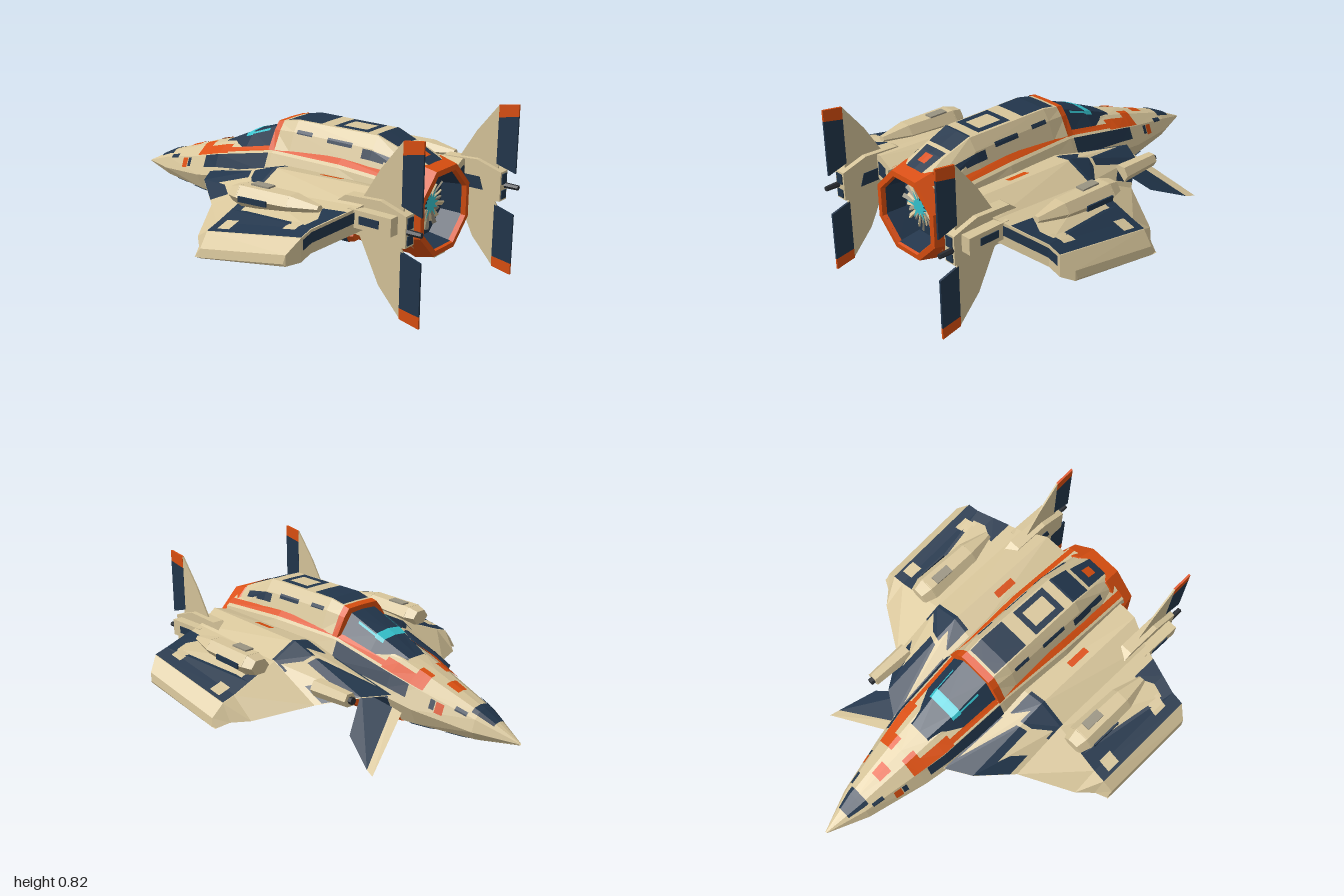
import * as THREE from 'three';

const flat = (color) => new THREE.MeshStandardMaterial({ color, flatShading: true, side: THREE.DoubleSide });

// A skin is a run of cross-sections: keys along its length, rows of points around it.
const at = (skin, u, t) => {
  const { keys, rows } = skin;
  let i = 0;
  while (i < keys.length - 2 && u > keys[i + 1]) i++;
  const j = Math.min(Math.floor(t), rows[0].length - 2);
  const f = (u - keys[i]) / (keys[i + 1] - keys[i]);
  const a = rows[i][j].clone().lerp(rows[i][j + 1], t - j);
  const b = rows[i + 1][j].clone().lerp(rows[i + 1][j + 1], t - j);
  return a.lerp(b, f);
};

// Half section about x: points are [z, y] from top centre to bottom
const bodySkin = (list) => ({
  keys: list.map((s) => s[0]),
  rows: list.map(([x, ...p]) => p.map(([z, y]) => new THREE.Vector3(x, y, z))),
});

export function createModel() {
  const tan = flat(0xd8c69b), navy = flat(0x22364c), orange = flat(0xdb4f10);
  const cyan = flat(0x35c4cf), dark = flat(0x2c3036), grey = flat(0x9a9482);
  Object.entries({ tan, navy, orange, cyan, dark, grey }).forEach(([n, m]) => { m.name = n; });
  const root = new THREE.Group();
  root.name = 'starfighter';

  const add = (name, geo, mat, x = 0, y = 0, z = 0) => {
    const m = new THREE.Mesh(geo, mat);
    m.name = name;
    m.position.set(x, y, z);
    root.add(m);
    return m;
  };
  const box = (name, mat, w, h, d, x, y, z) => add(name, new THREE.BoxGeometry(w, h, d), mat, x, y, z);

  // Covers part of a skin, lifted slightly off it, on both sides
  const cover = (name, skin, mat, u0, u1, t0, t1, lift = 0.004) => {
    const cuts = (a, b, list) => [a, ...list.filter((k) => k > a + 1e-5 && k < b - 1e-5), b];
    const us = cuts(u0, u1, skin.keys), ts = cuts(t0, t1, skin.rows[0].map((_, i) => i));
    const last = skin.rows[0].length - 1;
    for (const s of [1, -1]) {
      const point = (u, t) => {
        const p = at(skin, u, t);
        const out = skin.out || new THREE.Vector3(0, p.y - (at(skin, u, 0).y + at(skin, u, last).y) / 2, p.z).normalize();
        p.addScaledVector(out, lift);
        return [p.x, p.y, p.z * s];
      };
      const pos = [];
      for (let i = 0; i < us.length - 1; i++) for (let j = 0; j < ts.length - 1; j++) {
        const a = point(us[i], ts[j]), b = point(us[i + 1], ts[j]);
        const c = point(us[i + 1], ts[j + 1]), d = point(us[i], ts[j + 1]);
        pos.push(...(s > 0 ? [a, d, c, a, c, b] : [a, c, d, a, b, c]).flat());
      }
      const g = new THREE.BufferGeometry();
      g.setAttribute('position', new THREE.Float32BufferAttribute(pos, 3));
      g.computeVertexNormals();
      add(name, g, mat);
    }
  };

  // Fuselage
  const body = bodySkin([
    [-1, [0, .275], [.002, .275], [.004, .274], [.005, .272], [.004, .268], [.002, .266], [0, .266]],
    [-.8, [0, .375], [.035, .37], [.07, .345], [.09, .29], [.065, .25], [.03, .235], [0, .235]],
    [-.5, [0, .478], [.06, .468], [.125, .42], [.165, .33], [.13, .25], [.06, .225], [0, .225]],
    [-.36, [0, .515], [.07, .51], [.15, .46], [.19, .36], [.14, .245], [.06, .215], [0, .215]],
    [0, [0, .6], [.1, .6], [.17, .54], [.23, .4], [.15, .24], [.07, .185], [0, .185]],
    [.4, [0, .62], [.1, .62], [.19, .55], [.25, .4], [.16, .25], [.07, .185], [0, .185]],
    [.8, [0, .595], [.09, .595], [.19, .53], [.22, .42], [.17, .27], [.09, .2], [0, .2]],
  ]);
  cover('fuselage', body, tan, -1, .8, 0, 6, 0);
  cover('belly', body, orange, -.42, .8, 3.7, 6);
  cover('bellyPanel', body, tan, -.16, .22, 5.35, 6, .006);
  cover('bellyStrip', body, navy, -.14, .2, 5.45, 6, .009);
  cover('bellyRearStrip', body, navy, .32, .62, 5.55, 6, .007);
  cover('bellyLight', body, cyan, -.04, .05, 5.5, 6, .0115);
  cover('bellySidePatch', body, navy, -.05, .5, 4.05, 4.25, .007);
  cover('sideStripe', body, orange, -.3, .8, 1.55, 1.85, .006);
  cover('frontStripe', body, orange, -.46, -.3, 1.3, 1.95, .006);
  cover('noseBand', body, orange, -.53, -.46, .6, 1.95, .006);
  cover('noseSpot', body, orange, -.665, -.595, 0, .6);
  cover('noseSideSpot', body, orange, -.65, -.61, 2.1, 2.7);
  // Navy camouflage: [x0, x1, t0, t1]
  [[-.88, -.77, 0, 1.5], [-.605, -.58, 2.1, 2.6], [-.76, -.7, 1.7, 2.1],
    [-.46, -.02, 2.0, 2.6], [-.38, -.2, 2.9, 3.6], [-.74, -.64, 4.2, 6], [-.58, -.46, 4, 6],
    [.02, .14, 1.05, 1.4], [.2, .34, 1.1, 1.4], [.48, .62, 1.1, 1.4]]
    .forEach(([a, b, c, d]) => cover('camouflage', body, navy, a, b, c, d));

  // Canopy
  const canopy = bodySkin([
    [-.38, [0, .513], [.05, .512], [.1, .48]],
    [-.2, [0, .595], [.07, .588], [.135, .51]],
    [-.02, [0, .66], [.075, .655], [.155, .55]],
  ]);
  cover('canopy', canopy, navy, -.38, -.02, 0, 2, 0);
  cover('canopyGlass', canopy, cyan, -.238, -.19, 0, 1.2);
  cover('canopySideGlass', canopy, cyan, -.19, -.08, 1.05, 1.15);

  // Raised spine behind the canopy
  const spine = bodySkin([
    [-.025, [0, .57], [.05, .57], [.1, .57], [.14, .56]],
    [-.02, [0, .675], [.085, .675], [.115, .64], [.165, .555]],
    [.1, [0, .7], [.09, .7], [.125, .65], [.16, .56]],
    [.55, [0, .705], [.085, .705], [.125, .65], [.16, .56]],
    [.7, [0, .65], [.075, .65], [.11, .62], [.15, .56]],
    [.82, [0, .6], [.06, .6], [.09, .59], [.13, .55]],
  ]);
  cover('spine', spine, tan, -.025, .82, 0, 3, 0);
  cover('spineFrame', spine, orange, -.025, .015, 0, 3, .006);
  [[.03, .23, 0, .9], [.3, .33, 0, .85], [.33, .46, .5, .85], [.46, .49, 0, .85], [.54, .65, 0, .9],
    [.12, .21, 1.75, 2.05], [.3, .44, 1.85, 2.15], [.5, .7, 2.05, 2.5]]
    .forEach(([a, b, c, d]) => cover('spinePanel', spine, navy, a, b, c, d));
  cover('rearVent', spine, navy, .67, .8, 0, .8);
  cover('rearVentMark', spine, orange, .71, .76, 0, .3, .007);
  box('bellyNub', tan, .12, .045, .09, .78, .207, 0);

  // Wings: z, leading x y, mid x, top y, trailing x, top y, bottom y, bottom mid y
  const wingRows = [
    [.17, -.4, .37, .12, .5, .78, .51, .42, .3], [.3, -.32, .37, .13, .525, .76, .55, .42, .29],
    [.43, -.15, .32, .13, .46, .71, .5, .39, .28], [.68, 0, .27, .12, .36, .645, .455, .35, .27],
    [.745, .07, .26, .12, .34, .645, .435, .33, .25], [.8, .1, .24, .13, .28, .61, .37, .32, .235],
    [.806, .1, .238, .13, .24, .6, .33, .33, .24],
  ];
  const wing = {
    out: new THREE.Vector3(0, 1, 0),
    keys: wingRows.map((r) => r[0]),
    rows: wingRows.map(([z, xf, yf, xm, yt, xr, yrt, yrb, yb]) =>
      [[xf, yf], [xm, yt], [xr, yrt], [xr, yrb], [xm, yb], [xf, yf]].map(([x, y]) => new THREE.Vector3(x, y, z))),
  };
  const trailing = { ...wing, out: new THREE.Vector3(1, 0, 0) };
  cover('wing', wing, tan, .17, .806, 0, 3, 0);
  cover('wingUnderside', wing, navy, .17, .745, 3, 5, 0);
  cover('wingTipUnderside', wing, tan, .745, .806, 3, 5, 0);
  cover('strakePanel', wing, navy, .18, .41, 0, .68);
  cover('strakeRearPanel', wing, navy, .22, .43, .73, 1.03);
  cover('wingPanel', wing, navy, .59, .745, 1, 2);
  cover('wingRearPanel', wing, navy, .5, .59, 1.78, 2);
  cover('wingFrontPanel', wing, navy, .5, .59, 1, 1.1);
  cover('wingMarker', wing, tan, .665, .73, 1.09, 1.22, .008);
  cover('wingRearMarker', wing, tan, .63, .7, 1.74, 1.87, .008);
  cover('rootMarker', wing, orange, .235, .27, 1.37, 1.55);
  cover('undersideStripe', wing, orange, .69, .74, 3.05, 4, -.004);
  cover('rootStripe', wing, orange, .2, .25, 3.1, 4.4, -.004);
  cover('trailingPanel', trailing, navy, .46, .735, 2.1, 2.55);
  cover('trailingRootPanel', trailing, navy, .25, .33, 2.25, 2.8);

  const slab = (name, mat, pts, depth, z) => add(name, new THREE.ExtrudeGeometry(
    new THREE.Shape(pts.map((p) => new THREE.Vector2(...p))), { depth, bevelEnabled: false }), mat, 0, 0, z - depth / 2);
  const podGeo = (r0, r1, len) => new THREE.CylinderGeometry(r1, r0, len, 6).rotateZ(-Math.PI / 2);

  for (const s of [1, -1]) {
    // Split tail fins with rudders
    const z = s * .385;
    slab('upperFin', tan, [[.65, .46], [.7, .54], [.78, .67], [.89, .81], [.9, .81], [.9, .5], [.86, .46]], .008, z);
    slab('lowerFin', tan, [[.65, .4], [.69, .33], [.78, .15], [.89, .03], [.9, .03], [.9, .33], [.86, .4]], .008, z);
    slab('upperRudder', navy, [[.89, .53], [.89, .75], [.99, .77], [.99, .5]], .01, z);
    slab('lowerRudder', navy, [[.89, .33], [.89, .075], [.99, .06], [.99, .3]], .01, z);
    slab('upperTip', orange, [[.89, .75], [.89, .81], [.99, .825], [.99, .77]], .01, z);
    slab('lowerTip', orange, [[.89, .075], [.89, .025], [.99, .005], [.99, .06]], .01, z);
    // Tail booms
    slab('boom', tan, [[.5, .44], [.62, .53], [.8, .54], [.93, .5], [.93, .36], [.84, .35], [.62, .37]], .06, z);
    slab('boomPanel', navy, [[.7, .4], [.72, .46], [.82, .46], [.84, .4]], .066, z);
    box('boomEndUpper', navy, .006, .05, .04, .932, .465, z);
    box('boomEndLower', navy, .006, .04, .04, .932, .39, z);
    box('boomOuterBlock', tan, .22, .08, .06, .78, .455, s * .435);
    box('boomOuterPanel', navy, .1, .035, .006, .78, .455, s * .466);
    add('boomRod', podGeo(.016, .012, .14), dark, .93, .43, s * .4);
    // Wing-top pods
    const pod = (name, r0, r1, len, x, y) => {
      const m = add(name, podGeo(r0, r1, len), tan, x, y, s * .535);
      m.scale.z = 1.3;
      m.rotation.z = .05;
    };
    pod('weaponPod', .055, .047, .28, .3, .475);
    pod('podNose', .04, .055, .06, .135, .467);
    pod('podTail', .047, .015, .14, .507, .486);
    box('podPatch', grey, .1, .008, .045, .25, .522, s * .52).rotation.z = .02;
    box('podSidePatch', navy, .16, .025, .008, .26, .47, s * .607).rotation.z = .05;
    // Underside thruster and tip keel
    add('rootThruster', podGeo(.05, .04, .42), navy, .36, .31, s * .3);
    add('thrusterCap', podGeo(.04, .03, .03), orange, .585, .31, s * .3);
    box('tipKeel', orange, .36, .05, .012, .33, .275, s * .695).rotation.z = .17;
  }

  // Drooped canard and gun on one shoulder
  const quad = (name, mat, pts) => {
    const g = new THREE.BufferGeometry();
    g.setAttribute('position', new THREE.Float32BufferAttribute([0, 1, 2, 0, 2, 3].flatMap((i) => pts[i]), 3));
    g.computeVertexNormals();
    add(name, g, mat);
  };
  quad('canardEdge', tan, [[-.58, .13, -.48], [-.53, .14, -.465], [-.39, .31, -.17], [-.45, .3, -.17]]);
  quad('canard', navy, [[-.53, .14, -.465], [-.34, .22, -.39], [-.22, .35, -.2], [-.39, .31, -.17]]);
  add('shoulderGun', podGeo(.035, .045, .22), tan, -.23, .39, -.385);
  add('shoulderGunMuzzle', podGeo(.018, .018, .03), dark, -.345, .39, -.385);

  // Octagonal engine nozzle
  const lathe = (pts) => new THREE.LatheGeometry(pts.map((p) => new THREE.Vector2(...p)), 8, Math.PI / 8)
    .rotateZ(-Math.PI / 2);
  const cy = .4;
  add('nozzleRing', lathe([[.215, .7], [.234, .77], [.212, .86], [.185, .862], [.178, .84]]), orange, 0, cy);
  add('nozzleLining', lathe([[.185, .85], [.165, .74], [0, .74]]), navy, 0, cy + .005);
  // Fan blades of uneven length
  for (let i = 0; i < 24; i++) {
    const holder = new THREE.Group();
    holder.name = 'fanBlade';
    const len = .08 + .02 * Math.sin(i * 2.3);
    const blade = new THREE.Mesh(new THREE.BoxGeometry(.008, len, .02), i % 2 ? tan : grey);
    blade.name = 'blade';
    blade.position.y = .035 + len / 2;
    blade.rotation.y = .6;
    holder.add(blade);
    holder.position.set(.765, cy + .015, 0);
    holder.rotation.x = (i / 24) * Math.PI * 2;
    root.add(holder);
  }
  // Glowing core with uneven rays
  const star = new THREE.Shape(Array.from({ length: 24 }, (_, i) => {
    const r = i % 2 ? .032 : .065 + .022 * Math.sin(i * 1.7), a = (i / 24) * Math.PI * 2;
    return new THREE.Vector2(r * Math.cos(a), r * Math.sin(a));
  }));
  add('engineGlow', new THREE.ShapeGeometry(star).rotateY(Math.PI / 2), cyan, .785, cy + .015);
  return root;
}
